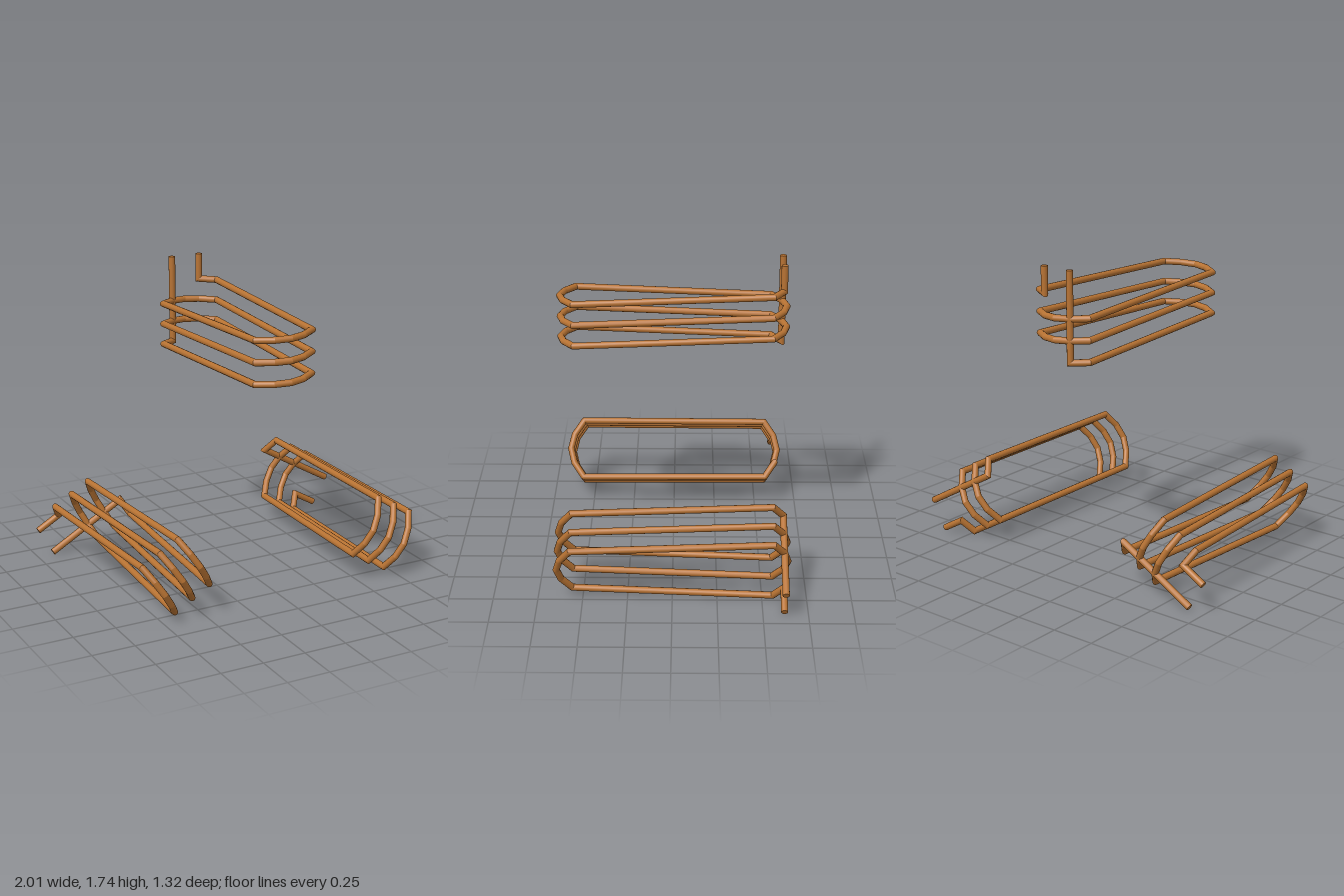
import * as THREE from 'three';

const WIRE = 0.0195, SIDES = 12;
const CENTRE = 0.648;      // height of the axis the three coils sit around
const PITCH = 0.123, TURNS = 3;

// Round wire along a polyline, with mitred corners and closed ends
function mitredWire(points, radius) {
  const pos = [], nor = [], idx = [];
  const dirs = points.slice(1).map((p, i) => p.clone().sub(points[i]).normalize());
  const u = new THREE.Vector3(1, 0, 0);
  u.addScaledVector(dirs[0], -u.dot(dirs[0])).normalize();
  const v = dirs[0].clone().cross(u);

  let ring = [];
  for (let i = 0; i <= SIDES; i++) {
    const a = (i / SIDES) * Math.PI * 2;
    ring.push(points[0].clone().addScaledVector(u, radius * Math.cos(a)).addScaledVector(v, radius * Math.sin(a)));
  }
  const put = (p, n) => { pos.push(p.x, p.y, p.z); nor.push(n.x, n.y, n.z); };
  const cap = (r, centre, normal, flip) => {
    const c = pos.length / 3;
    put(centre, normal);
    r.forEach(p => put(p, normal));
    for (let i = 1; i <= SIDES; i++) idx.push(c, flip ? c + i + 1 : c + i, flip ? c + i : c + i + 1);
  };

  cap(ring, points[0], dirs[0].clone().negate(), true);
  dirs.forEach((d, s) => {
    // slide the ring along the segment onto the mitre plane of the next corner
    const n = d.clone().add(dirs[s + 1] || d).normalize();
    const end = points[s + 1];
    const next = ring.map(p => p.clone().addScaledVector(d, end.clone().sub(p).dot(n) / d.dot(n)));
    const base = pos.length / 3;
    ring.forEach((p, i) => {
      const out = p.clone().sub(points[s]);
      out.addScaledVector(d, -out.dot(d)).normalize();
      put(p, out);
      put(next[i], out);
    });
    for (let i = 0; i < SIDES; i++) {
      const a = base + i * 2;
      idx.push(a, a + 2, a + 3, a, a + 3, a + 1);
    }
    ring = next;
  });
  cap(ring, points[points.length - 1], dirs[dirs.length - 1], false);

  const g = new THREE.BufferGeometry();
  g.setAttribute('position', new THREE.Float32BufferAttribute(pos, 3));
  g.setAttribute('normal', new THREE.Float32BufferAttribute(nor, 3));
  g.setIndex(idx);
  return g;
}

// Winding path: elongated loops rising evenly, with a lead at each end
function coilPath() {
  const half = [[-0.176, -0.56], [-0.176, 0.56], [-0.089, 0.619], [0, 0.641], [0.089, 0.619]];
  const loop = [...half, ...half.map(([x, z]) => [-x, -z])];
  const flat = [[-0.089, -0.619]];
  for (let t = 0; t < TURNS; t++) flat.push(...loop);
  flat.splice(-2);                       // the last turn stops at the second lead

  const dist = (a, b) => Math.hypot(a[0] - b[0], a[1] - b[1]);
  const perimeter = loop.reduce((sum, p, i) => sum + dist(p, loop[(i + 1) % loop.length]), 0);
  const top = 1.747 - CENTRE;
  let y = 1.232 - CENTRE;
  const path = [new THREE.Vector3(-0.089, top, -0.619)];
  flat.forEach((p, i) => {
    if (i) y += PITCH * dist(p, flat[i - 1]) / perimeter;
    path.push(new THREE.Vector3(p[0], y, p[1]));
  });
  path.push(new THREE.Vector3(0.089, top, -0.619));
  return path;
}

export function createModel() {
  const group = new THREE.Group();
  group.name = 'threePhaseCoils';
  const copper = new THREE.MeshStandardMaterial({ color: 0xb87333 });
  const geometry = mitredWire(coilPath(), WIRE);

  // Three identical coils, a third of a turn apart
  ['topCoil', 'leftCoil', 'rightCoil'].forEach((name, i) => {
    const coil = new THREE.Mesh(geometry, copper);
    coil.name = name;
    coil.position.y = CENTRE;
    coil.rotation.z = -i * Math.PI * 2 / 3;
    group.add(coil);
  });
  return group;
}
